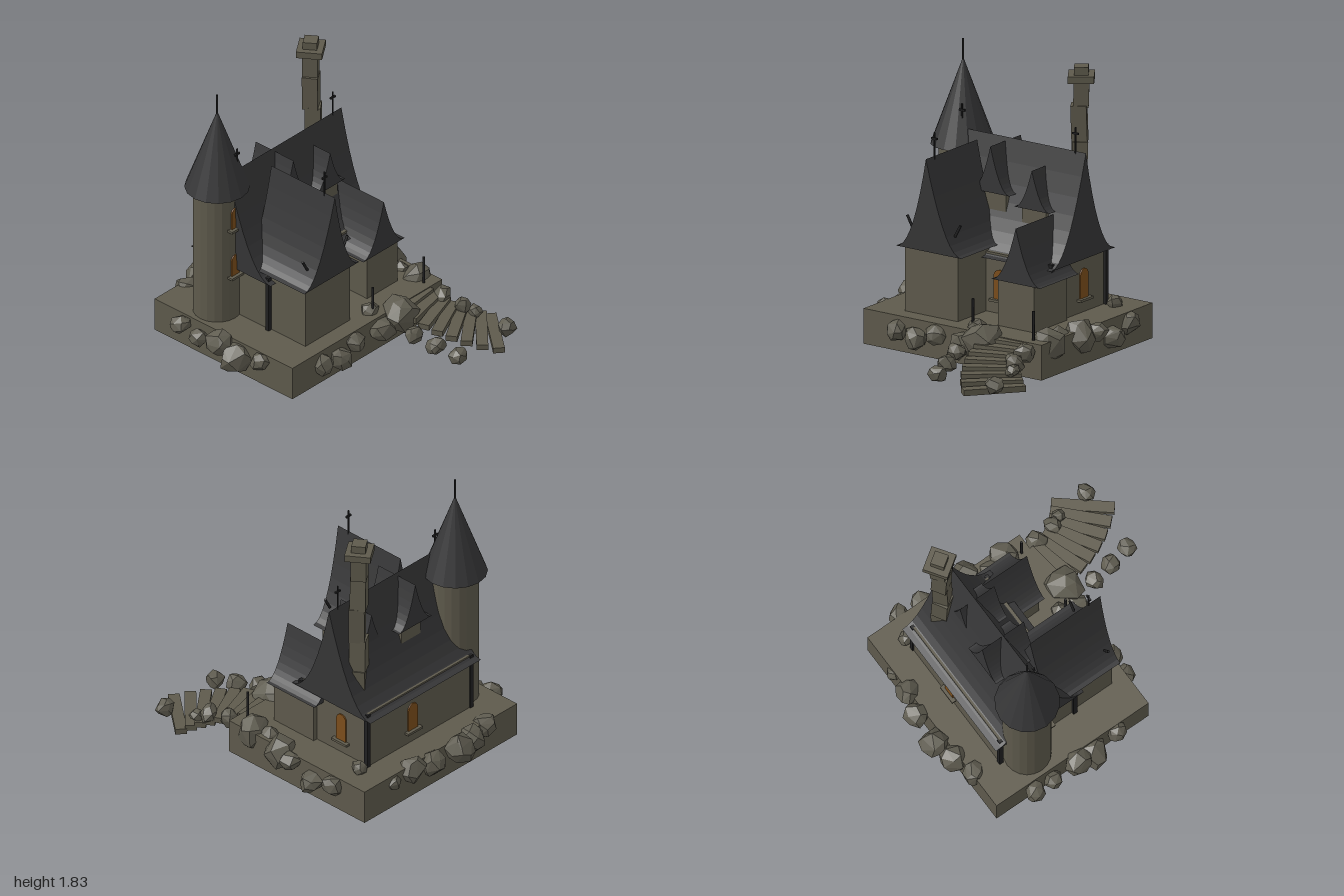
import * as THREE from 'three';
import { ConvexGeometry } from 'three/addons/geometries/ConvexGeometry.js';

const mat = (name, color, flatShading = false) => {
  const m = new THREE.MeshStandardMaterial({ color, flatShading });
  m.name = name;
  return m;
};

export function createModel() {
  const root = new THREE.Group();
  root.name = 'oldHouse';
  const stone = mat('stone', 0x5e5a4c, true);
  const rockMat = mat('rock', 0x5f5c50, true);
  const slate = mat('slate', 0x363637, true);
  const iron = mat('darkTimber', 0x202021);
  const amber = mat('amberWindow', 0x7c4e1b);

  const add = (name, geo, material, x = 0, y = 0, z = 0, parent = root) => {
    const m = new THREE.Mesh(geo, material);
    m.name = name;
    m.position.set(x, y, z);
    parent.add(m);
    return m;
  };
  // box given by its limits
  const block = (name, material, x0, x1, y0, y1, z0, z1, parent = root) =>
    add(name, new THREE.BoxGeometry(x1 - x0, y1 - y0, z1 - z0), material,
      (x0 + x1) / 2, (y0 + y1) / 2, (z0 + z1) / 2, parent);

  // seeded random numbers for the rocks
  let seed = 7;
  const rnd = () => {
    seed = (seed * 16807) % 2147483647;
    return seed / 2147483647;
  };

  // solid roof with sweeping sides, ridge along z; the ridge ends may lean outward
  const sweptRoof = (name, half, y0, y1, z0, z1, leanBack = 0, leanFront = 0) => {
    const shape = new THREE.Shape();
    const n = 9;
    shape.moveTo(-half, y0);
    shape.lineTo(half, y0);
    for (let i = n - 1; i >= -n + 1; i--) {
      const t = i / n;
      shape.lineTo(half * t, y0 + (y1 - y0) * (1 - Math.abs(t)) ** 2);
    }
    shape.closePath();
    const geo = new THREE.ExtrudeGeometry(shape, { depth: z1 - z0, bevelEnabled: false });
    geo.translate(0, 0, z0);
    const p = geo.attributes.position;
    const mid = (z0 + z1) / 2;
    for (let i = 0; i < p.count; i++) {
      const h = (p.getY(i) - y0) / (y1 - y0);
      p.setZ(i, p.getZ(i) + h * (p.getZ(i) > mid ? leanFront : -leanBack));
    }
    geo.computeVertexNormals();
    return add(name, geo, slate);
  };

  // arched window with sill, facing +z before turning
  const archedWindow = (name, x, y, z, turn = 0, w = 0.082, h = 0.2) => {
    const g = new THREE.Group();
    g.name = name;
    const s = new THREE.Shape();
    s.moveTo(-w / 2, 0);
    s.lineTo(w / 2, 0);
    s.lineTo(w / 2, h - w / 2);
    s.absarc(0, h - w / 2, w / 2, 0, Math.PI, false);
    s.closePath();
    add('pane', new THREE.ExtrudeGeometry(s, { depth: 0.009, bevelEnabled: false, curveSegments: 8 }), amber, 0, 0, 0, g);
    block('sill', stone, -w * 0.8, w * 0.8, -0.008, 0.008, -0.01, 0.03, g);
    g.position.set(x, y, z);
    g.rotation.y = turn;
    root.add(g);
  };

  const rod = (name, x, y0, y1, z, r = 0.007) =>
    add(name, new THREE.CylinderGeometry(r, r, y1 - y0, 6), iron, x, (y0 + y1) / 2, z);

  // plinth and walls
  block('plinth', stone, -0.69, 0.69, 0, 0.23, -0.83, 0.34);
  block('mainWalls', stone, -0.46, 0.46, 0.23, 0.62, -0.645, -0.07);
  block('leftWingWalls', stone, -0.45, -0.04, 0.23, 0.67, -0.2, 0.23);
  block('rightWingWalls', stone, 0.21, 0.49, 0.23, 0.54, -0.2, 0.145);
  for (const x of [-0.465, 0.465])
    for (const z of [-0.64, -0.07])
      block('cornerPost', iron, x - 0.014, x + 0.014, 0.23, 0.62, z - 0.014, z + 0.014);

  // main roof runs along x
  const main = sweptRoof('mainRoof', 0.338, 0.59, 1.285, -0.5, 0.5, 0.02, 0.02);
  main.rotation.y = Math.PI / 2;
  main.position.z = -0.36;
  sweptRoof('leftWingRoof', 0.253, 0.655, 1.267, -0.25, 0.262, 0, 0.028).position.x = -0.243;
  sweptRoof('rightWingRoof', 0.19, 0.528, 0.887, -0.255, 0.155).position.x = 0.354;

  // dormers pass through to both slopes
  sweptRoof('leftDormerRoof', 0.148, 0.96, 1.26, -0.515, -0.195).position.x = -0.1;
  sweptRoof('rightDormerRoof', 0.138, 0.905, 1.16, -0.45, -0.185).position.x = 0.228;
  block('leftDormerWalls', stone, -0.17, -0.0, 0.8, 0.965, -0.49, -0.225);
  block('rightDormerWalls', stone, 0.135, 0.32, 0.8, 0.91, -0.44, -0.21);

  // round tower
  const tx = -0.51, tz = -0.465;
  add('towerWall', new THREE.CylinderGeometry(0.153, 0.153, 0.94, 20), stone, tx, 0.69, tz);
  add('towerRoof', new THREE.ConeGeometry(0.206, 0.56, 16), slate, tx, 1.43, tz);
  rod('towerSpire', tx, 1.66, 1.83, tz);
  for (const y of [0.55, 0.9]) archedWindow('towerWindow', tx, y, tz + 0.15, 0, 0.07, 0.155);

  // house windows
  archedWindow('frontWindow', 0.065, 0.315, -0.07);
  archedWindow('rightWindow', 0.46, 0.315, -0.415, Math.PI / 2);
  archedWindow('backWindow', 0.065, 0.315, -0.645, Math.PI);

  // crooked chimney: bottom, top, x, z, width, turn
  const stack = [
    [0.62, 0.86, 0.385, -0.475, 0.11, 0.62],
    [0.86, 1.08, 0.375, -0.48, 0.105, 0.54],
    [1.08, 1.32, 0.385, -0.475, 0.1, 0.66],
    [1.32, 1.55, 0.377, -0.485, 0.1, 0.56],
    [1.55, 1.72, 0.385, -0.495, 0.098, 0.62],
    [1.715, 1.75, 0.385, -0.495, 0.165, 0.6],
    [1.75, 1.8, 0.385, -0.495, 0.09, 0.6],
  ];
  stack.forEach(([y0, y1, x, z, w, turn], i) => {
    const b = add('chimneyBlock', new THREE.BoxGeometry(w, y1 - y0 + 0.01, w), stone, x, (y0 + y1 - 0.01) / 2, z);
    b.rotation.set(0, turn, i < 5 ? (i % 2 ? 0.03 : -0.03) : 0);
  });

  // ridge finials with crossbars
  for (const [x, y, z] of [[-0.243, 1.42, 0.2], [0.44, 1.44, -0.36], [-0.44, 1.44, -0.36]]) {
    rod('finial', x, y - 0.22, y, z, 0.006);
    block('finialBar', iron, x - 0.022, x + 0.022, y - 0.046, y - 0.034, z - 0.006, z + 0.006);
  }
  // roof hooks on the left wing
  for (const s of [-1, 1]) {
    const hook = rod('roofHook', -0.243 + s * 0.185, 0.76, 0.85, 0.205, 0.009);
    hook.rotation.z = -s * 0.5;
    hook.position.y = 0.81;
  }
  // gate posts
  for (const x of [0.115, 0.585]) rod('gatePost', x, 0.15, 0.42, 0.28, 0.009);

  // curving steps
  const path = new THREE.QuadraticBezierCurve(
    new THREE.Vector2(0.42, 0.35), new THREE.Vector2(0.45, 0.61), new THREE.Vector2(0.665, 0.81));
  const steps = 8;
  for (let i = 0; i < steps; i++) {
    const t = i / (steps - 1);
    const p = path.getPoint(t);
    const b = add('step', new THREE.BoxGeometry(0.32 + 0.08 * t, 0.038, 0.074), stone, p.x, 0.205 - 0.155 * t, p.y);
    b.rotation.y = 0.12 + 0.76 * t;
  }

  // rocks: x, y, z, size
  const rock = ([x, y, z, r]) => {
    const pts = [];
    const n = 20;
    for (let i = 0; i < n; i++) {
      const h = 1 - (2 * (i + 0.5)) / n;
      const a = i * 2.4 + rnd() * 0.7;
      const q = Math.sqrt(1 - h * h);
      const k = r * (0.88 + rnd() * 0.24);
      pts.push(new THREE.Vector3(q * Math.cos(a) * k, h * k, q * Math.sin(a) * k));
    }
    const m = add('rock', new ConvexGeometry(pts), rockMat, x, y, z);
    m.rotation.set(rnd() * 3, rnd() * 6, rnd() * 3);
    m.scale.set(0.9 + rnd() * 0.25, 0.85 + rnd() * 0.2, 0.9 + rnd() * 0.25);
  };
  const backRocks = [
    [-0.42, 0.19, -0.81, 0.08], [-0.26, 0.18, -0.85, 0.1], [-0.11, 0.2, -0.89, 0.1],
    [0.11, 0.19, -0.87, 0.085], [0.26, 0.19, -0.83, 0.09], [0.42, 0.17, -0.82, 0.045]];
  const leftRocks = [
    [-0.74, 0.18, -0.57, 0.065], [-0.73, 0.14, -0.42, 0.06], [-0.74, 0.19, -0.23, 0.09],
    [-0.72, 0.13, -0.11, 0.1], [-0.71, 0.17, 0.08, 0.065]];
  const rightRocks = [
    [0.54, 0.25, -0.64, 0.05], [0.71, 0.17, -0.57, 0.075], [0.71, 0.12, -0.39, 0.08],
    [0.71, 0.19, -0.21, 0.075], [0.67, 0.19, -0.09, 0.1], [0.62, 0.2, 0.05, 0.075],
    [0.62, 0.19, 0.18, 0.11]];
  const frontRocks = [
    [-0.42, 0.135, 0.35, 0.07], [-0.27, 0.115, 0.36, 0.075], [-0.12, 0.165, 0.35, 0.07],
    [0.12, 0.23, 0.25, 0.06], [0.11, 0.15, 0.37, 0.085], [0.265, 0.2, 0.38, 0.115]];
  const pathRocks = [
    [0.195, 0.155, 0.56, 0.062], [0.235, 0.12, 0.71, 0.062], [0.27, 0.095, 0.865, 0.06],
    [0.61, 0.18, 0.41, 0.065], [0.645, 0.16, 0.56, 0.062], [0.68, 0.13, 0.63, 0.045],
    [0.715, 0.095, 0.865, 0.06]];
  [backRocks, leftRocks, rightRocks, frontRocks, pathRocks].flat().forEach(rock);

  return root;
}
